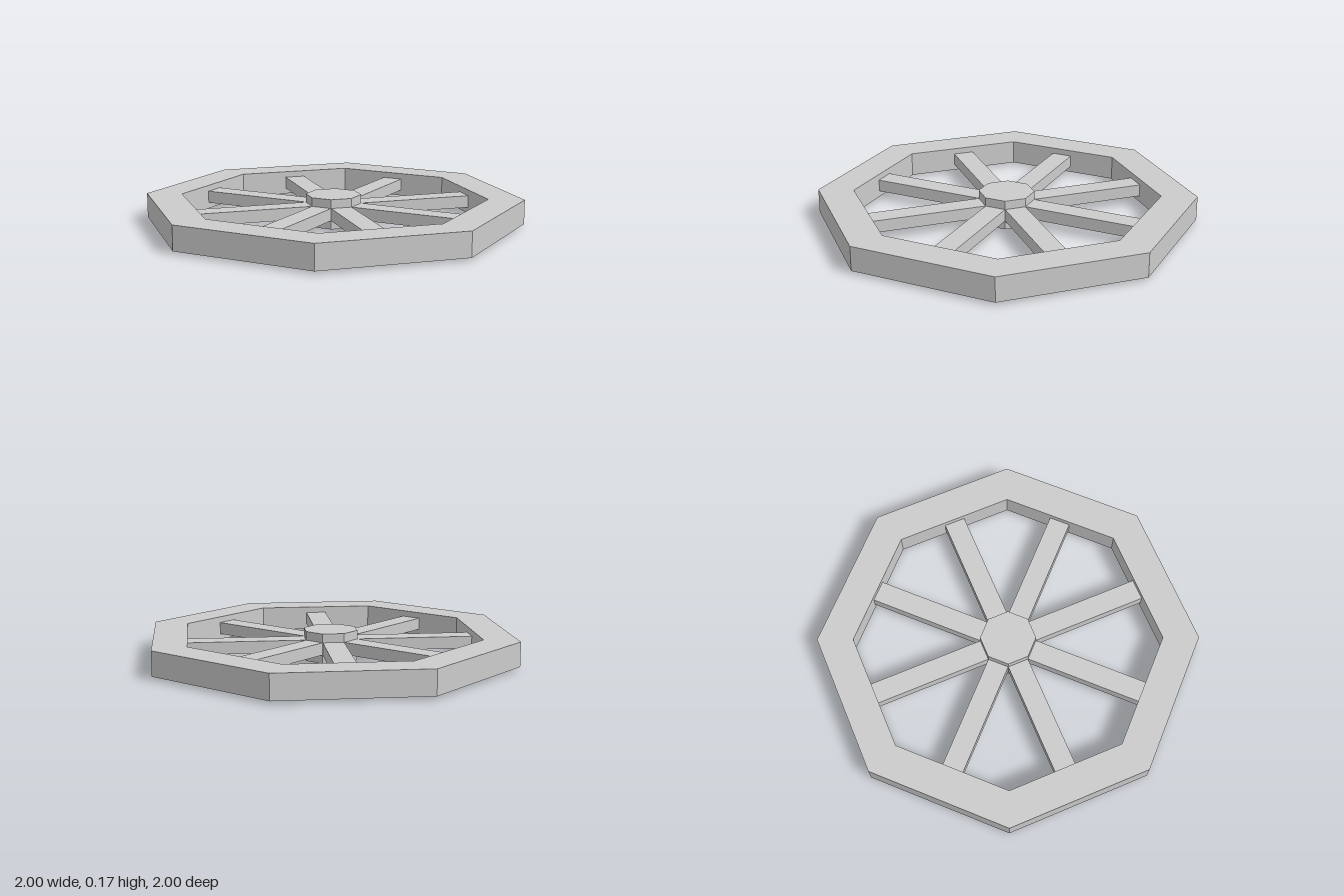
import * as THREE from 'three';

const SIDES = 8;
const STEP = (Math.PI * 2) / SIDES;
const CORNER = THREE.MathUtils.degToRad(18); // angle of the first corner
const MID = 0.0825; // height of the wheel's middle plane

// Corners of a regular octagon in the ground plane
function octagon(radius) {
  return Array.from({ length: SIDES }, (_, i) => {
    const a = CORNER + i * STEP;
    return new THREE.Vector2(radius * Math.cos(a), radius * Math.sin(a));
  });
}

// Horizontal octagonal slab, optionally hollow, centred on the middle plane
function slab(radius, height, holeRadius) {
  const shape = new THREE.Shape(octagon(radius));
  if (holeRadius) shape.holes.push(new THREE.Path(octagon(holeRadius)));
  const geometry = new THREE.ExtrudeGeometry(shape, { depth: height, bevelEnabled: false });
  geometry.translate(0, 0, -height / 2);
  geometry.rotateX(Math.PI / 2);
  geometry.translate(0, MID, 0);
  return geometry;
}

export function createModel() {
  const model = new THREE.Group();
  model.name = 'spokedWheel';
  const material = new THREE.MeshStandardMaterial({ color: 0xcccccc, flatShading: true });

  function add(name, geometry) {
    const mesh = new THREE.Mesh(geometry, material);
    mesh.name = name;
    model.add(mesh);
    return mesh;
  }

  // Rim and slightly taller hub
  add('rim', slab(1.051, 0.136, 0.852));
  add('hub', slab(0.154, 0.165));

  // Spokes from the hub to the middle of each rim side
  const inner = 0.12, outer = 0.79;
  const spokeGeometry = new THREE.BoxGeometry(outer - inner, 0.068, 0.117);
  spokeGeometry.translate((inner + outer) / 2, MID, 0);
  for (let i = 0; i < SIDES; i++) {
    const spoke = add(`spoke${i + 1}`, spokeGeometry);
    spoke.rotation.y = -(CORNER + (i + 0.5) * STEP);
  }

  return model;
}
